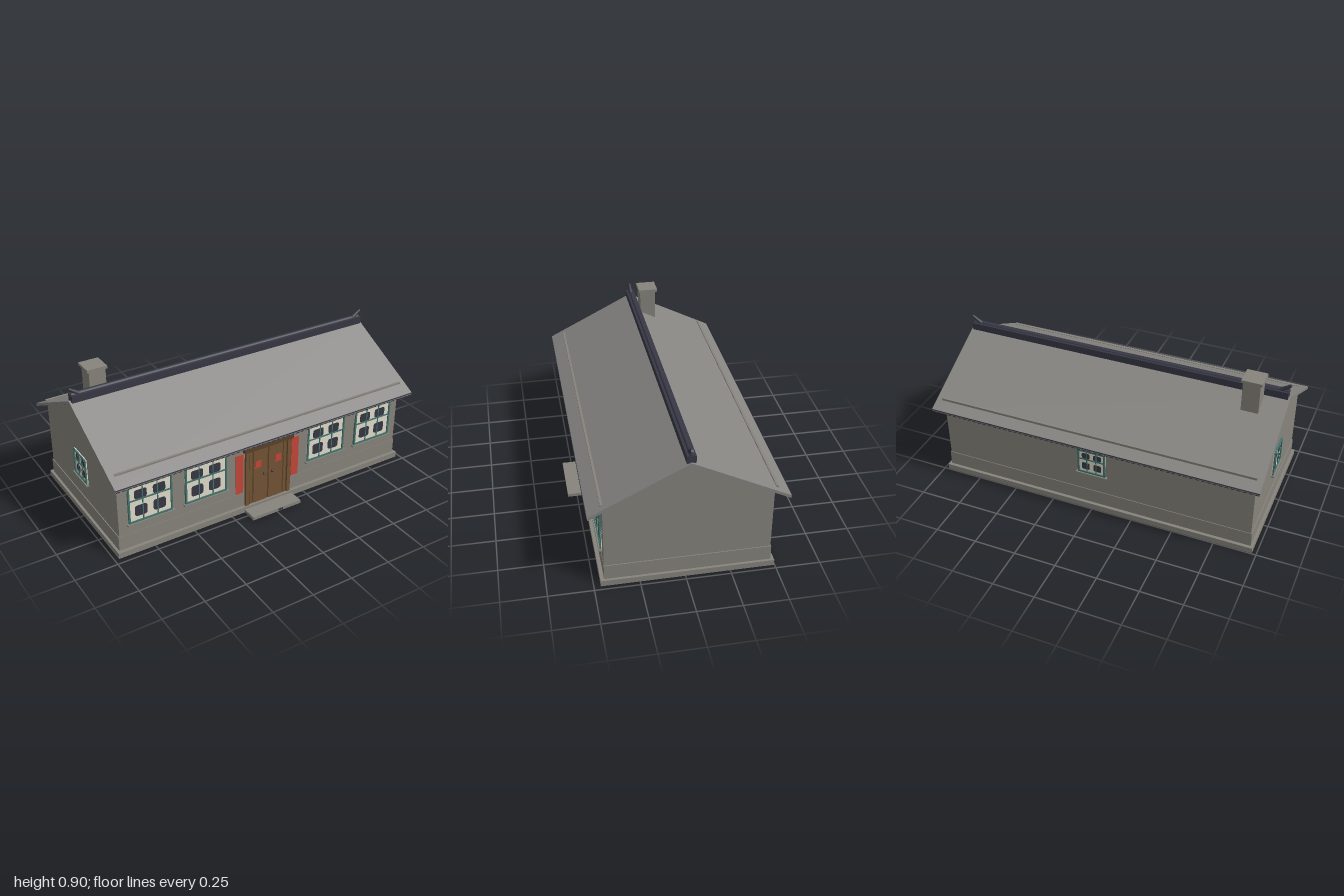
import * as THREE from 'three';

const material = (name, color) => {
  const m = new THREE.MeshStandardMaterial({ color });
  m.name = name;
  return m;
};

export function createModel() {
  const house = new THREE.Group();
  house.name = 'cottage';
  const brick = material('grey brick', 0x87847c);
  const tile = material('grey tile', 0x868481);
  const dark = material('dark slate', 0x383845);
  const wood = material('brown wood', 0x735434);
  const darkWood = material('dark wood', 0x5c432b);
  const teal = material('teal paint', 0x45756f);
  const cream = material('cream paper', 0xe2decd);
  const red = material('red paper', 0xc4473a);

  const add = (parent, name, geometry, mat) => {
    const mesh = new THREE.Mesh(geometry, mat);
    mesh.name = name;
    parent.add(mesh);
    return mesh;
  };
  // box given by its limits
  const box = (parent, name, mat, x0, x1, y0, y1, z0, z1) => {
    const mesh = add(parent, name, new THREE.BoxGeometry(x1 - x0, y1 - y0, z1 - z0), mat);
    mesh.position.set((x0 + x1) / 2, (y0 + y1) / 2, (z0 + z1) / 2);
    return mesh;
  };
  // (z, y) outline extruded symmetrically along x
  const prism = (name, mat, points, half) => {
    const shape = new THREE.Shape(points.map(([z, y]) => new THREE.Vector2(-z, y)));
    const g = new THREE.ExtrudeGeometry(shape, { depth: 2 * half, bevelEnabled: false });
    g.rotateY(Math.PI / 2).translate(-half, 0, 0);
    return add(house, name, g, mat);
  };

  const ridgeZ = -0.015, slope = 0.505;
  const roofY = (d, top) => top - slope * d;
  const chevron = (d, top, thick) => [
    [ridgeZ + d, roofY(d, top)], [ridgeZ, top], [ridgeZ - d, roofY(d, top)],
    [ridgeZ - d + 0.003, roofY(d, top) - thick], [ridgeZ, top - thick], [ridgeZ + d - 0.003, roofY(d, top) - thick],
  ];

  // hollow foundation: a thin rim around a raised floor
  box(house, 'floor', brick, -0.974, 0.974, 0.032, 0.035, -0.495, 0.462);
  for (const side of [1, -1])
    box(house, 'foundationEnd', brick, side * 0.9735 - 0.0015, side * 0.9735 + 0.0015, 0, 0.035, -0.496, 0.463);
  box(house, 'foundationFront', brick, -0.975, 0.975, 0, 0.035, 0.46, 0.463);
  box(house, 'foundationBack', brick, -0.975, 0.975, 0, 0.035, -0.496, -0.493);

  // plinth, gabled walls and front step
  box(house, 'plinth', brick, -0.96, 0.96, 0.035, 0.125, -0.477, 0.442);
  prism('walls', brick, [[0.44, 0.035], [0.44, 0.513], [ridgeZ, 0.742], [-0.473, 0.511], [-0.473, 0.035]], 0.955);
  box(house, 'frontStep', brick, -0.165, 0.165, 0, 0.02, 0.463, 0.555);
  box(house, 'stepMark', dark, 0.008, 0.04, 0.004, 0.018, 0.55, 0.557);

  // roof with wooden underside
  prism('roof', tile, chevron(0.538, 0.76, 0.017), 0.996);
  prism('roofUnderside', wood, chevron(0.53, 0.744, 0.0025), 0.992);
  // wall-top courses that break through the roof
  box(house, 'frontCourse', brick, -0.96, 0.96, 0.505, 0.534, 0.437, 0.45);
  box(house, 'backCourse', brick, -0.96, 0.96, 0.505, 0.534, -0.49, -0.477);
  for (const side of [1, -1]) {
    const eave = add(house, 'eaveEdge', new THREE.BoxGeometry(1.992, 0.005, 0.004), dark);
    eave.position.set(0, roofY(0.538, 0.76) - 0.002, ridgeZ + side * 0.538);
    // row of small drip tiles
    const tiles = new THREE.Group();
    tiles.name = 'dripTiles';
    house.add(tiles);
    for (let i = 0; i < 60; i++) {
      const drip = add(tiles, 'dripTile', new THREE.BoxGeometry(0.02, 0.005, 0.006), dark);
      drip.position.set(-0.98 + i * 1.96 / 59, 0.473, ridgeZ + side * 0.534);
    }
  }

  // ridge with rounded cap and upturned ends
  box(house, 'ridge', dark, -0.985, 0.985, 0.753, 0.796, -0.04, 0.01);
  const cap = add(house, 'ridgeCap', new THREE.CylinderGeometry(0.011, 0.011, 1.96, 12), dark);
  cap.rotation.z = Math.PI / 2;
  cap.position.set(0, 0.794, ridgeZ);
  for (const side of [1, -1]) {
    const horn = add(house, 'ridgeHorn', new THREE.CylinderGeometry(0.008, 0.014, 0.068, 10), dark);
    horn.position.set(side * 0.965, 0.814, ridgeZ);
    horn.rotation.z = -side * 0.96;
  }

  // chimney
  box(house, 'chimney', brick, -0.853, -0.753, 0.65, 0.88, -0.146, -0.049);
  box(house, 'chimneyCap', brick, -0.865, -0.745, 0.88, 0.897, -0.159, -0.04);

  // rounded pane ornament
  const pane = (w, h) => {
    const s = new THREE.Shape(), r = Math.min(w, h) * 0.25, x = w / 2, y = h / 2;
    s.moveTo(-x + r, -y).lineTo(x - r, -y).quadraticCurveTo(x, -y, x, -y + r);
    s.lineTo(x, y - r).quadraticCurveTo(x, y, x - r, y).lineTo(-x + r, y);
    s.quadraticCurveTo(-x, y, -x, y - r).lineTo(-x, -y + r).quadraticCurveTo(-x, -y, -x + r, -y);
    return new THREE.ExtrudeGeometry(s, { depth: 0.002, bevelEnabled: false, curveSegments: 4 });
  };
  // window facing +z, origin at its bottom centre on the wall
  const addWindow = (name, w, h, x, y, z, turn) => {
    const win = new THREE.Group();
    win.name = name;
    const f = 0.01, mid = h * 0.6;
    box(win, 'paper', cream, -w / 2, w / 2, 0, h, -0.002, 0.005);
    for (const side of [1, -1]) {
      box(win, 'frameSide', teal, side * (w / 2 - f / 2) - f / 2, side * (w / 2 - f / 2) + f / 2, 0, h, 0, 0.012);
      add(win, 'lowerPane', pane(w * 0.28, h * 0.29), dark).position.set(side * w * 0.21, h * 0.29, 0.0045);
      add(win, 'upperPane', pane(w * 0.28, h * 0.24), dark).position.set(side * w * 0.21, h * 0.74, 0.0045);
      box(win, 'uprightBar', teal, side * w / 6 - 0.003, side * w / 6 + 0.003, 0, h, 0, 0.009);
    }
    box(win, 'frameTop', teal, -w / 2, w / 2, h - f, h, 0, 0.0115);
    box(win, 'frameBottom', teal, -w / 2, w / 2, 0, f, 0, 0.0115);
    box(win, 'crossBar', teal, -w / 2, w / 2, mid - 0.004, mid + 0.004, 0, 0.0095);
    box(win, 'sill', brick, -w / 2 - 0.01, w / 2 + 0.01, -0.01, 0, 0, 0.019);
    win.position.set(x, y, z);
    win.rotation.y = turn;
    house.add(win);
  };
  for (const x of [-0.762, -0.413, 0.413, 0.764]) addWindow('frontWindow', 0.268, 0.235, x, 0.192, 0.44, 0);
  addWindow('backWindow', 0.17, 0.16, 0.005, 0.252, -0.473, Math.PI);
  addWindow('gableWindow', 0.16, 0.16, -0.955, 0.252, ridgeZ, -Math.PI / 2);

  // double door with frame, paper charms and handles
  box(house, 'doorBack', darkWood, -0.15, 0.15, 0.036, 0.4, 0.43, 0.445);
  box(house, 'doorLintel', darkWood, -0.167, 0.167, 0.4, 0.43, 0.43, 0.463);
  for (const side of [1, -1]) {
    const strip = (name, mat, a, b, y0, y1, z1) =>
      box(house, name, mat, Math.min(side * a, side * b), Math.max(side * a, side * b), y0, y1, 0.435, z1);
    strip('doorPost', wood, 0.132, 0.155, 0.036, 0.4, 0.456);
    strip('doorLeaf', wood, 0.005, 0.1, 0.036, 0.398, 0.45);
    strip('doorSidePanel', wood, 0.108, 0.126, 0.036, 0.398, 0.449);
    strip('sideBanner', red, 0.166, 0.217, 0.13, 0.39, 0.4445);
    box(house, 'doorCharm', red, side * 0.069 - 0.022, side * 0.069 + 0.022, 0.273, 0.317, 0.449, 0.4525);
    const knob = add(house, 'doorKnob', new THREE.SphereGeometry(0.008, 12, 8), dark);
    knob.position.set(side * 0.028, 0.218, 0.452);
  }
  box(house, 'topBanner', red, -0.117, 0.117, 0.437, 0.476, 0.435, 0.4445);

  return house;
}
